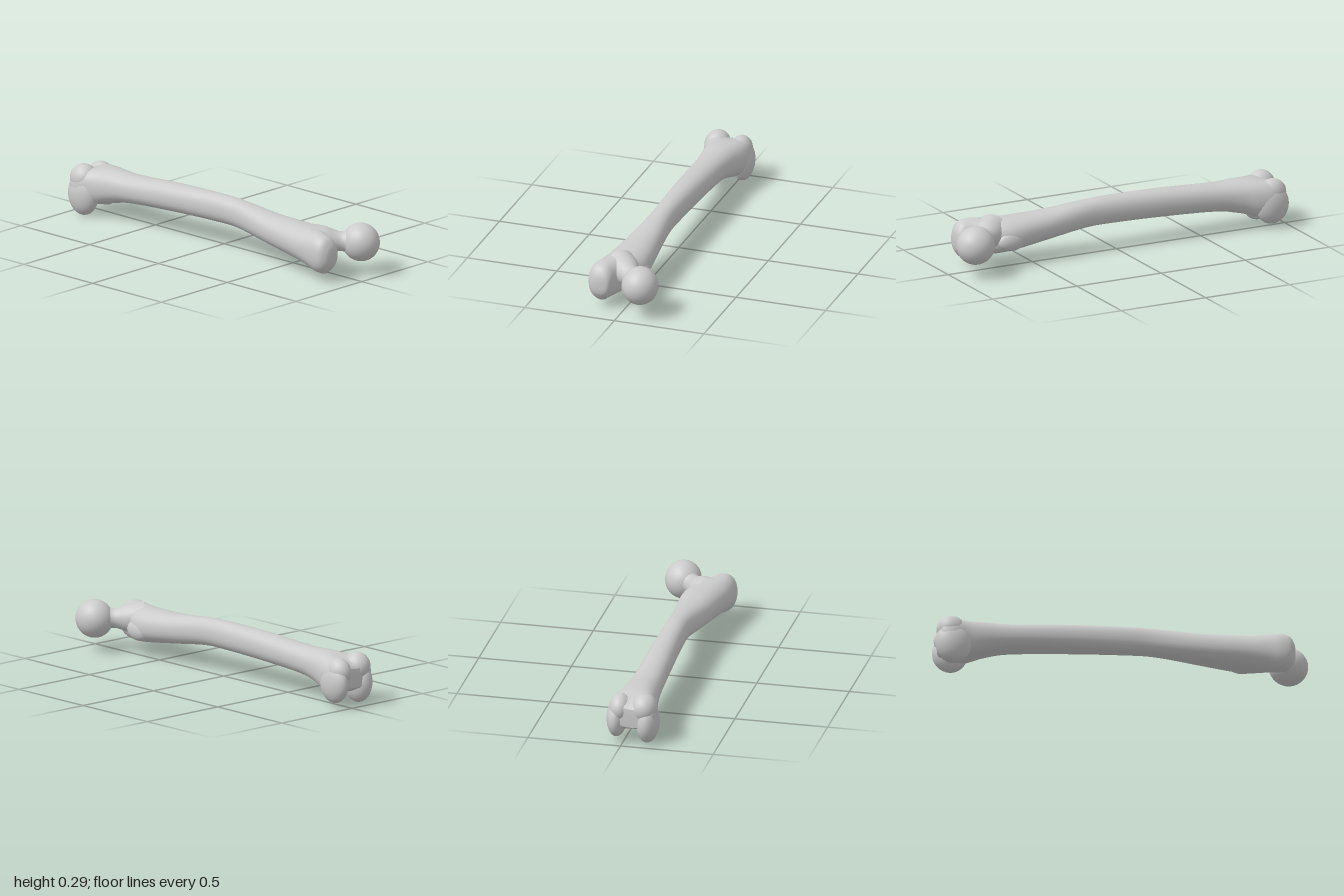
import * as THREE from 'three';

const material = new THREE.MeshStandardMaterial({ color: 0xcccccc });
const V = (x, y, z) => new THREE.Vector3(x, y, z);

function add(group, name, geometry) {
  const mesh = new THREE.Mesh(geometry, material);
  mesh.name = name;
  group.add(mesh);
  return mesh;
}

function ellipsoid(group, name, center, radii) {
  const mesh = add(group, name, new THREE.SphereGeometry(1, 28, 20));
  mesh.position.set(...center);
  mesh.scale.set(...radii);
}

// Smooth loft along x. Section: [x, yMin, yMax, zMin, zMax, groove below, groove above]
function loft(sections, steps = 80, sides = 32) {
  const curve = (f) => new THREE.CatmullRomCurve3(sections.map(f), false, 'catmullrom', 0.5);
  const ys = curve((s) => V(s[0], s[1], s[2]));
  const zs = curve((s) => V(s[0], s[3], s[4]));
  const grooves = curve((s) => V(s[0], s[5] || 0, s[6] || 0));
  const round = (v) => Math.sign(v) * Math.pow(Math.abs(v), 0.88);
  const pos = [], index = [];
  for (let i = 0; i <= steps; i++) {
    const y = ys.getPoint(i / steps), z = zs.getPoint(i / steps), g = grooves.getPoint(i / steps);
    for (let j = 0; j < sides; j++) {
      const a = (j / sides) * Math.PI * 2, c = Math.cos(a), s = Math.sin(a);
      const dent = Math.pow(Math.abs(c), 6) * (c > 0 ? -g.z : g.y);
      pos.push(y.x,
        (y.y + y.z) / 2 + (y.z - y.y) / 2 * round(c) + dent,
        (z.y + z.z) / 2 + (z.z - z.y) / 2 * round(s));
    }
  }
  for (let i = 0; i < steps; i++) {
    for (let j = 0; j < sides; j++) {
      const k = (j + 1) % sides;
      const a = i * sides + j, b = i * sides + k, c = a + sides, d = b + sides;
      index.push(a, b, c, b, d, c);
    }
  }
  // End caps
  const n = pos.length / 3, e = steps * sides;
  for (const s of [sections[0], sections[sections.length - 1]]) {
    pos.push(s[0], (s[1] + s[2]) / 2, (s[3] + s[4]) / 2);
  }
  for (let j = 0; j < sides; j++) {
    const k = (j + 1) % sides;
    index.push(n, k, j, n + 1, e + j, e + k);
  }
  const geometry = new THREE.BufferGeometry();
  geometry.setAttribute('position', new THREE.Float32BufferAttribute(pos, 3));
  geometry.setIndex(index);
  geometry.computeVertexNormals();
  return geometry;
}

export function createModel() {
  const bone = new THREE.Group();
  bone.name = 'thighBone';

  // Shaft, flaring to the knee end at -x and to the large hip knob at +x
  add(bone, 'shaft', loft([
    [-0.98, 0.10, 0.22, -0.03, 0.14, 0, 0.02],
    [-0.96, 0.06, 0.255, -0.065, 0.17, 0.03, 0.035],
    [-0.90, 0.035, 0.275, -0.085, 0.182, 0.03, 0.03],
    [-0.82, 0.05, 0.272, -0.075, 0.157, 0.015, 0.01],
    [-0.73, 0.085, 0.266, -0.053, 0.143],
    [-0.60, 0.11, 0.262, -0.037, 0.132],
    [-0.30, 0.127, 0.278, -0.03, 0.12],
    [0.00, 0.135, 0.285, -0.023, 0.108],
    [0.17, 0.132, 0.28, -0.022, 0.107],
    [0.40, 0.10, 0.258, -0.04, 0.138],
    [0.58, 0.075, 0.252, -0.057, 0.163],
    [0.67, 0.064, 0.25, -0.048, 0.176],
    [0.75, 0.054, 0.25, 0.0, 0.188],
    [0.82, 0.043, 0.25, 0.045, 0.197],
    [0.87, 0.055, 0.235, 0.06, 0.19],
    [0.895, 0.085, 0.2, 0.075, 0.165],
    [0.903, 0.115, 0.165, 0.1, 0.14],
  ]));

  // Paired knee knuckles with a notch between them
  ellipsoid(bone, 'leftKneeKnuckle', [-0.905, 0.115, 0.125], [0.095, 0.115, 0.062]);
  ellipsoid(bone, 'rightKneeKnuckle', [-0.905, 0.125, -0.04], [0.095, 0.105, 0.053]);
  // Raised rims either side of the kneecap groove
  ellipsoid(bone, 'leftGrooveRim', [-0.915, 0.195, 0.11], [0.078, 0.078, 0.07]);
  ellipsoid(bone, 'rightGrooveRim', [-0.915, 0.185, -0.02], [0.078, 0.075, 0.06]);

  // Ball of the hip joint
  ellipsoid(bone, 'hipBall', [0.892, 0.173, -0.105], [0.104, 0.102, 0.097]);

  // Waisted neck between the shaft and the ball
  const from = V(0.7, 0.18, 0.075), to = V(0.892, 0.175, -0.105);
  const length = from.distanceTo(to);
  const profile = new THREE.SplineCurve([
    [0.09, 0], [0.077, 0.3], [0.056, 0.52], [0.053, 0.65], [0.068, 0.8], [0.07, 1],
  ].map(([r, t]) => new THREE.Vector2(r, t * length))).getPoints(24);
  const neck = add(bone, 'hipNeck', new THREE.LatheGeometry(profile, 28));
  neck.position.copy(from);
  neck.quaternion.setFromUnitVectors(V(0, 1, 0), to.clone().sub(from).normalize());

  // Small knob below the neck
  ellipsoid(bone, 'smallKnob', [0.635, 0.14, -0.025], [0.08, 0.055, 0.038]);

  // Rounded bulge of the large hip knob
  ellipsoid(bone, 'largeKnob', [0.842, 0.14, 0.125], [0.062, 0.1, 0.066]);
  return bone;
}
